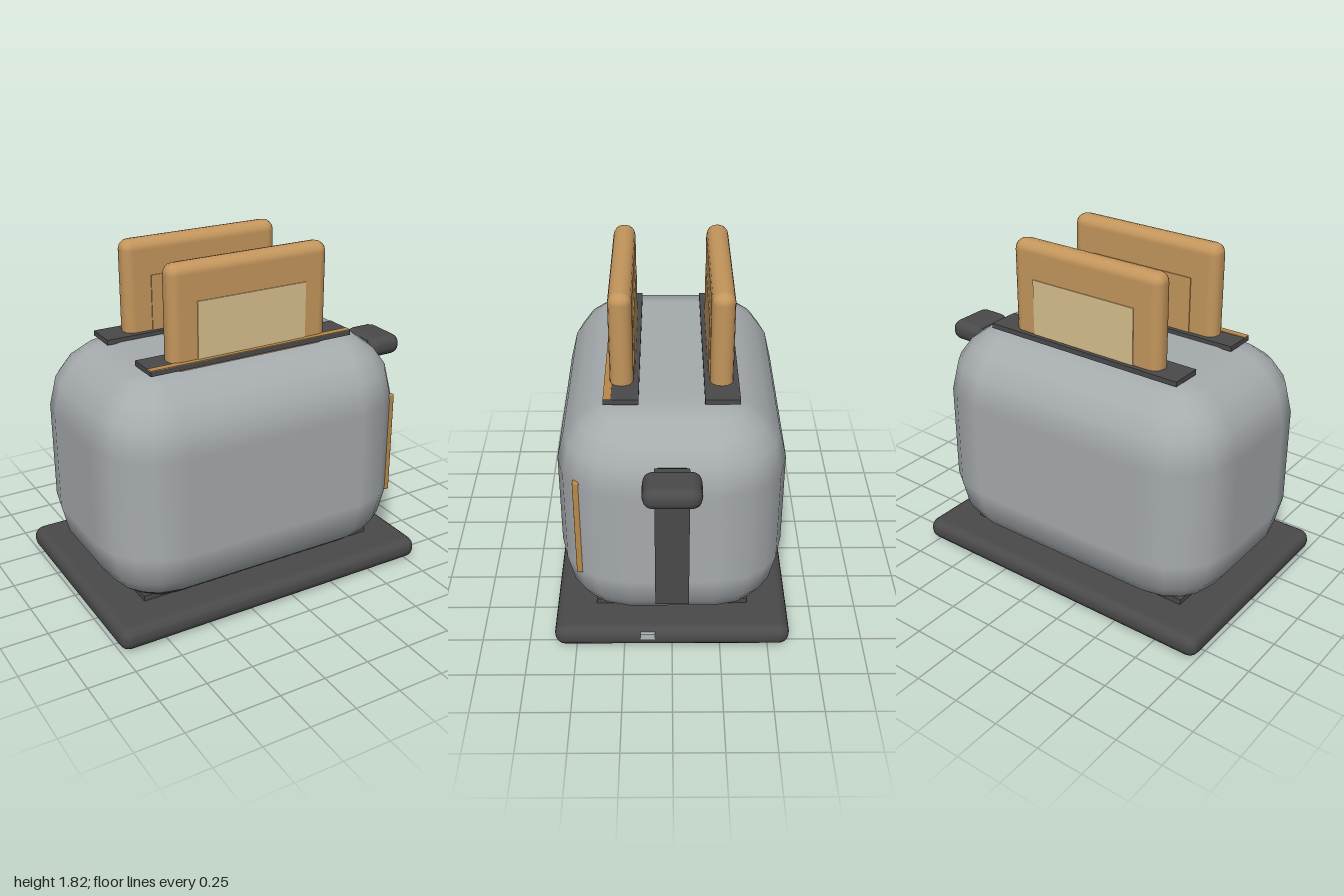
import * as THREE from 'three';
import { RoundedBoxGeometry } from 'three/addons/geometries/RoundedBoxGeometry.js';

const mat = (name, color) => {
  const m = new THREE.MeshStandardMaterial({ color });
  m.name = name;
  return m;
};

// Rounded-rectangle rings stacked upward; each profile entry is [overhang, y, normalY]
function loft(halfX, halfZ, profile) {
  const pos = [], nor = [], idx = [];
  const steps = [0, 26.57, 45, 63.43, 90];
  const dirs = [];
  for (let q = 0; q < 4; q++) {
    const sx = q === 0 || q === 3 ? 1 : -1, sz = q < 2 ? 1 : -1;
    for (const s of steps) {
      const a = THREE.MathUtils.degToRad(s + q * 90);
      dirs.push([sx * halfX, sz * halfZ, Math.cos(a), Math.sin(a)]);
    }
  }
  const n = dirs.length;
  const ring = ([off, y, ny], flat) => {
    const nr = flat ? 0 : Math.sqrt(1 - ny * ny);
    for (const [cx, cz, c, s] of dirs) {
      pos.push(cx + c * off, y, cz + s * off);
      nor.push(c * nr, flat || ny, s * nr);
    }
  };
  profile.forEach((p) => ring(p));
  for (let r = 0; r < profile.length - 1; r++) {
    for (let i = 0; i < n; i++) {
      const j = (i + 1) % n, a = r * n + i, b = r * n + j;
      idx.push(a, a + n, b, b, a + n, b + n);
    }
  }
  // Flat caps at both ends
  for (const up of [-1, 1]) {
    const p = up > 0 ? profile[profile.length - 1] : profile[0];
    const start = pos.length / 3;
    ring(p, up);
    pos.push(0, p[1], 0);
    nor.push(0, up, 0);
    for (let i = 0; i < n; i++) {
      const a = start + i, b = start + (i + 1) % n;
      idx.push(start + n, up > 0 ? b : a, up > 0 ? a : b);
    }
  }
  const g = new THREE.BufferGeometry();
  g.setAttribute('position', new THREE.Float32BufferAttribute(pos, 3));
  g.setAttribute('normal', new THREE.Float32BufferAttribute(nor, 3));
  g.setIndex(idx);
  return g;
}

export function createModel() {
  const model = new THREE.Group();
  model.name = 'toaster';
  const metal = mat('brushed metal', 0xa6abae);
  const dark = mat('dark plastic', 0x4a4a4a);
  const crust = mat('toast crust', 0xc4965c);
  const crumb = mat('toast crumb', 0xd8c08e);
  const amber = mat('amber trim', 0xb98a48);
  const light = mat('pale button', 0xb4b9bc);

  const add = (name, geo, material, x = 0, y = 0, z = 0) => {
    const m = new THREE.Mesh(geo, material);
    m.name = name;
    m.position.set(x, y, z);
    model.add(m);
    return m;
  };
  // Box given by its limits, rounded when r > 0
  const box = (name, material, [x0, x1], [y0, y1], [z0, z1], r = 0) => {
    const s = [x1 - x0, y1 - y0, z1 - z0];
    const g = r ? new RoundedBoxGeometry(...s, 2, r) : new THREE.BoxGeometry(...s);
    return add(name, g, material, (x0 + x1) / 2, (y0 + y1) / 2, (z0 + z1) / 2);
  };

  // Base and feet
  box('base', dark, [-1, 0.81], [0, 0.12], [-0.615, 0.615], 0.055);
  for (const [x0, x1] of [[-0.78, -0.6], [0.41, 0.6]])
    for (const s of [-1, 1])
      box('foot', dark, [x0, x1], [0.11, 0.15], [s * 0.31 - 0.09, s * 0.31 + 0.09]);
  box('baseButton', light, [0.79, 0.815], [0.06, 0.1], [0.09, 0.165]);

  // Shell with a dark lower skirt
  const R = 0.36;
  const arc = (cy, sign, degs) => degs.map((d) => {
    const a = THREE.MathUtils.degToRad(d);
    return [R * Math.cos(a), cy + sign * R * Math.sin(a), sign * Math.sin(a)];
  });
  const seam = [0.266, 0.183, -0.67];
  add('shell', loft(0.51, 0.22, [
    seam,
    ...arc(0.425, -1, [26.57, 0]),
    ...arc(0.95, 1, [0, 26.57, 45, 63.43, 90]),
  ]), metal, -0.09);
  add('skirt', loft(0.51, 0.22, [[0.2, 0.13, -0.82], seam]), dark, -0.09);

  // Slots with a slice of toast in each
  for (const s of [1, -1]) {
    const span = (a, b) => (s > 0 ? [a, b] : [-b, -a]);
    box('slotRim', dark, [-0.67, 0.49], [1.305, 1.332], span(0.162, 0.335));
    box('toast', crust, [-0.545, 0.36], [0.9, 1.82], span(0.19, 0.308), 0.055);
    box('crumbOuter', crumb, [-0.4, 0.22], [1.31, 1.63], span(0.305, 0.313));
    box('crumbInner', crust, [-0.4, 0.22], [1.31, 1.63], span(0.185, 0.193));
  }
  box('slotTrim', amber, [-0.67, 0.49], [1.33, 1.335], [0.297, 0.335]);

  // Trim strip on the front left corner
  box('cornerTrim', amber, [0.655, 0.688], [0.41, 0.98], [0.455, 0.488], 0.008);

  // Lever on the side
  box('leverTrack', dark, [0.775, 0.835], [0.33, 1.13], [-0.085, 0.085]);
  box('leverStem', dark, [0.745, 0.84], [1.06, 1.12], [-0.085, 0.085], 0.02);
  box('leverKnob', dark, [0.795, 1], [1.035, 1.15], [-0.142, 0.142], 0.052);

  return model;
}
